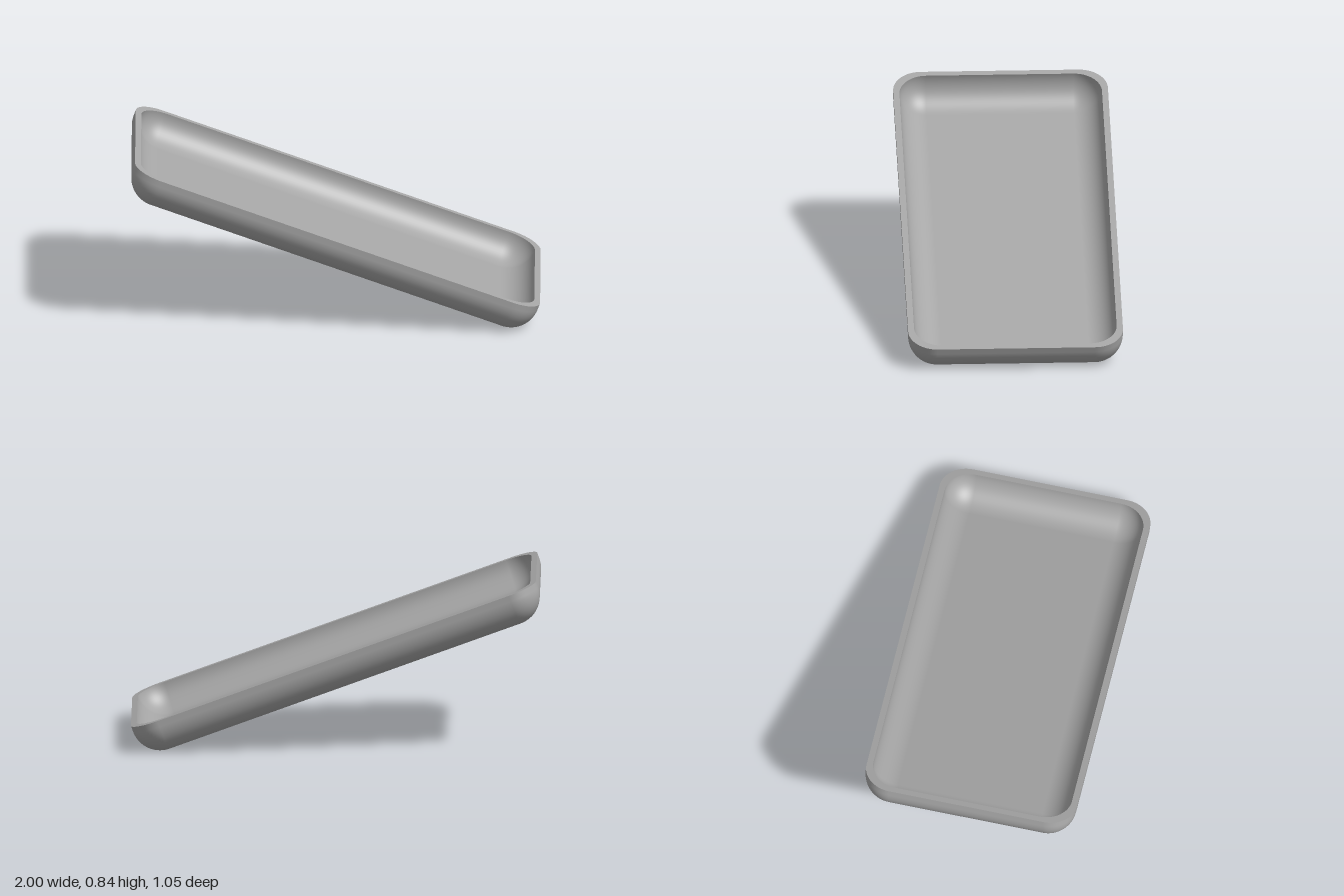
import * as THREE from 'three';

const LENGTH = 2.105, WIDTH = 1.05, DEPTH = 0.17, WALL = 0.03;
const CORNER_STEPS = 16, FILLET_STEPS = 16;

// One rounded-rectangle section: corner centres (cx, cz), corner radius r, height y,
// and a normal made of an outward part and an upward part.
const section = (cx, cz, r, y, out, up) => ({ cx, cz, r, y, out, up });

// Sections of a rounded tray surface from the middle of its floor up to its rim.
function bowlSections(length, width, depth, radius) {
  const cx = length / 2 - radius, cz = width / 2 - radius;
  const list = [section(0, 0, 0, -depth, 0, -1)];
  for (let i = 0; i <= FILLET_STEPS; i++) {
    const t = (i / FILLET_STEPS) * Math.PI / 2;
    list.push(section(cx, cz, radius * Math.sin(t), -depth + radius * (1 - Math.cos(t)), Math.sin(t), -Math.cos(t)));
  }
  list.push(section(cx, cz, radius, 0, 1, 0));
  return list;
}

// Skin a list of sections with quads and exact normals.
function loft(sections) {
  const pos = [], nor = [], index = [];
  const perRing = 4 * (CORNER_STEPS + 1);
  for (const s of sections) {
    for (let q = 0; q < 4; q++) {
      const sx = q === 0 || q === 3 ? 1 : -1, sz = q < 2 ? 1 : -1;
      for (let i = 0; i <= CORNER_STEPS; i++) {
        const a = (q + i / CORNER_STEPS) * Math.PI / 2;
        const c = Math.cos(a), d = Math.sin(a);
        pos.push(sx * s.cx + s.r * c, s.y, sz * s.cz + s.r * d);
        nor.push(s.out * c, s.up, s.out * d);
      }
    }
  }
  for (let k = 0; k < sections.length - 1; k++) {
    for (let j = 0; j < perRing; j++) {
      const n = (j + 1) % perRing;
      const a = k * perRing + j, b = a + perRing;
      const c = k * perRing + n, d = c + perRing;
      index.push(a, b, c, b, d, c);
    }
  }
  const g = new THREE.BufferGeometry();
  g.setAttribute('position', new THREE.Float32BufferAttribute(pos, 3));
  g.setAttribute('normal', new THREE.Float32BufferAttribute(nor, 3));
  g.setIndex(index);
  return g;
}

export function createModel() {
  const grey = new THREE.MeshStandardMaterial({ color: 0xa6a6a6 });
  grey.name = 'grey';

  const tray = new THREE.Group();
  tray.name = 'tray';
  const add = (name, sections) => {
    const mesh = new THREE.Mesh(loft(sections), grey);
    mesh.name = name;
    tray.add(mesh);
  };

  const outer = bowlSections(LENGTH, WIDTH, DEPTH, 0.14);
  const inner = bowlSections(LENGTH - 2 * WALL, WIDTH - 2 * WALL, DEPTH - WALL, 0.135);

  // Underside and outer walls
  add('outerShell', outer);
  // Flat lip joining the two skins
  add('rim', [outer.at(-1), inner.at(-1)].map(s => ({ ...s, out: 0, up: 1 })));
  // Inner walls and floor, facing inwards
  add('innerBasin', inner.map(s => ({ ...s, out: -s.out, up: -s.up })).reverse());

  // The whole tray leans down towards +x
  tray.rotation.z = -THREE.MathUtils.degToRad(20);
  tray.position.set(0.01, 0.481, 0);

  const model = new THREE.Group();
  model.name = 'tiltedTray';
  model.add(tray);
  return model;
}
